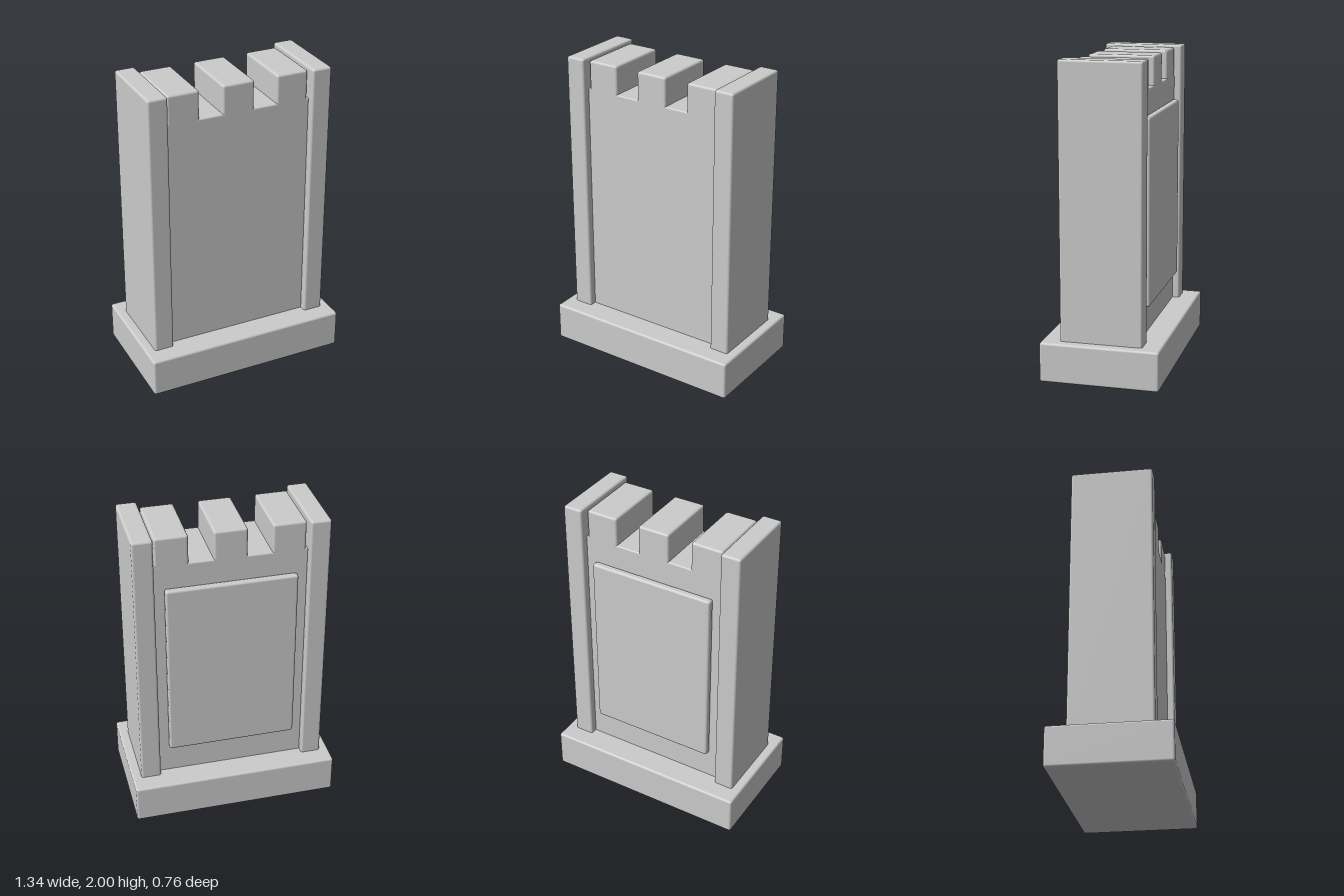
import * as THREE from 'three';
import { RoundedBoxGeometry } from 'three/addons/geometries/RoundedBoxGeometry.js';

const material = new THREE.MeshStandardMaterial({ color: 0xcccccc });

// Softly bevelled block given by its extents on each axis
function block(name, [x0, x1], [y0, y1], [z0, z1], radius = 0.015) {
  const geometry = new RoundedBoxGeometry(x1 - x0, y1 - y0, z1 - z0, 3, radius);
  const mesh = new THREE.Mesh(geometry, material);
  mesh.name = name;
  mesh.position.set((x0 + x1) / 2, (y0 + y1) / 2, (z0 + z1) / 2);
  return mesh;
}

export function createModel() {
  const model = new THREE.Group();
  model.name = 'battlementWall';

  // Plinth and main wall slab
  model.add(block('base', [-0.67, 0.67], [0, 0.255], [-0.38, 0.38]));
  model.add(block('wall', [-0.485, 0.485], [0.22, 1.8], [-0.215, 0.215], 0.01));

  // Side pillars, taller and deeper than the wall
  model.add(block('leftPillar', [0.48, 0.61], [0.22, 2], [-0.262, 0.262]));
  model.add(block('rightPillar', [-0.61, -0.48], [0.22, 2], [-0.262, 0.262]));

  // Three merlons rising from the wall top
  ['rightMerlon', 'middleMerlon', 'leftMerlon'].forEach((name, i) => {
    const x = (i - 1) * 0.364;
    model.add(block(name, [x - 0.105, x + 0.105], [1.76, 1.985], [-0.215, 0.215]));
  });

  // Raised panel on the back
  model.add(block('backPanel', [-0.415, 0.415], [0.455, 1.645], [-0.262, -0.214]));

  return model;
}
